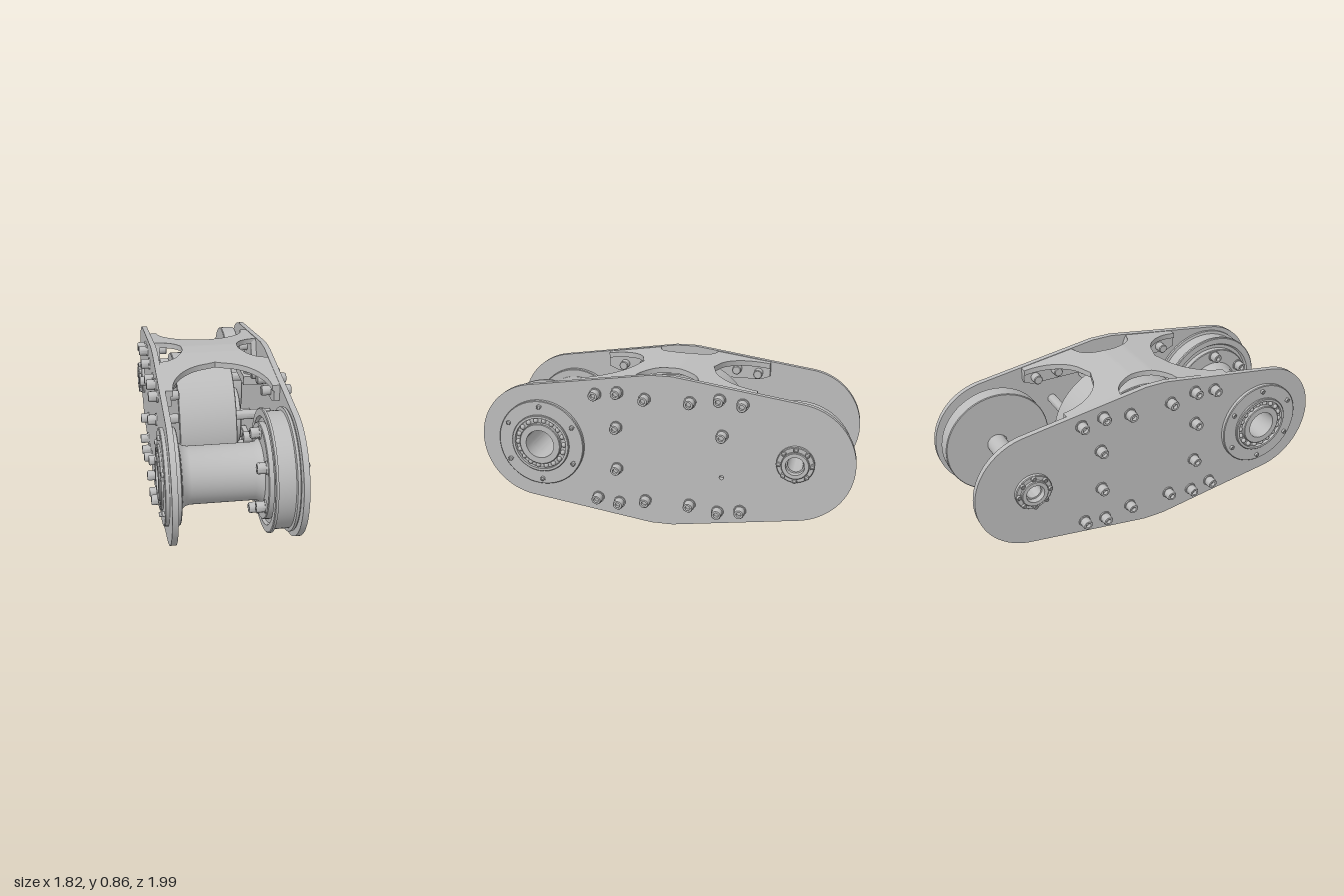
import * as THREE from 'three';
import { toCreasedNormals } from 'three/addons/utils/BufferGeometryUtils.js';

// Local frame: x along the arm, y up, z across the two side plates.
const CY = 0.4275, BIG = 0.68, SMALL = -0.72, MID = -0.035;
const IN = 0.295, OUT = 0.325; // inner and outer plate faces

export function createModel() {
  const metal = new THREE.MeshStandardMaterial({ color: 0xbcbcbc });
  metal.name = 'grey metal';
  const model = new THREE.Group();
  model.name = 'armLink';

  const add = (name, geo, x = 0, y = 0, z = 0, side = 1, parent = model) => {
    const m = new THREE.Mesh(geo, metal);
    m.name = name;
    m.position.set(x, y, z * side);
    if (side < 0) m.rotation.y = Math.PI;
    parent.add(m);
    return m;
  };
  // Turned part about the z axis from [radius, z] points
  const turned = (pts, seg = 48) => toCreasedNormals(
    new THREE.LatheGeometry(pts.map(p => new THREE.Vector2(...p)), seg).rotateX(Math.PI / 2), 0.6);
  const ring = (r0, r1, z0, z1, seg = 48, b = 0.004) => turned(
    [[r0, z0], [r1 - b, z0], [r1, z0 + b], [r1, z1 - b], [r1 - b, z1], [r0, z1], [r0, z0]], seg);
  const around = (n, r, start, fn) => {
    for (let i = 0; i < n; i++) {
      const a = start + i * 2 * Math.PI / n;
      fn(r * Math.cos(a), r * Math.sin(a));
    }
  };

  // Socket head screw, base at z = 0
  const boltGeo = turned([[0, 0], [0.034, 0], [0.034, 0.008], [0.028, 0.008], [0.028, 0.044],
    [0.024, 0.05], [0.014, 0.05], [0.014, 0.03], [0, 0.03]], 14);
  const smallBoltGeo = boltGeo.clone().scale(0.45, 0.45, 0.3);
  const ballGeo = new THREE.SphereGeometry(0.014, 10, 8);

  // Side plate outline with shaft holes
  const tilt = 0.145, q = Math.PI / 2, plate = new THREE.Shape();
  plate.moveTo(-0.06, 0);
  plate.lineTo(0.06, 0);
  plate.absarc(0.70, CY, 0.33, -q + tilt, q - tilt, false);
  plate.lineTo(0.06, 0.855);
  plate.lineTo(-0.06, 0.855);
  plate.absarc(-0.70, CY, 0.33, q + tilt, 3 * q - tilt, false);
  const cut = (x, y, r) => new THREE.Path().absarc(x, y, r, 0, Math.PI * 2, true);
  const plateGeo = extraHole => {
    const s = plate.clone();
    s.holes = [cut(BIG, CY, 0.15), cut(SMALL, CY, 0.058)];
    if (extraHole) s.holes.push(cut(-0.33, 0.31, 0.012));
    return toCreasedNormals(new THREE.ExtrudeGeometry(s,
      { depth: OUT - IN, bevelEnabled: false, curveSegments: 32 }), 0.5);
  };
  add('frontPlate', plateGeo(false), 0, 0, IN);
  add('backPlate', plateGeo(true), 0, 0, -OUT);

  const rowX = [-0.435, -0.312, -0.156, 0.09, 0.24, 0.363];
  const rowY = [0.73, 0.748, 0.722, 0.722, 0.748, 0.73];
  for (const s of [1, -1]) {
    // Plate screws
    rowX.forEach((x, i) => {
      add('plateScrew', boltGeo, x, rowY[i], OUT, s);
      add('plateScrew', boltGeo, x, 0.855 - rowY[i], OUT, s);
    });
    for (const x of [-0.33, 0.25]) for (const y of [0.31, 0.55]) {
      if (s > 0 || x > 0 || y > 0.5) add('motorScrew', boltGeo, x, y, OUT, s);
      const from = s > 0 ? 0.2 : 0.09;
      add('standoff', ring(0, 0.026, from, IN, 16), x, y, 0, s);
    }
    // Large bearing
    add('bearingHousing', ring(0.165, 0.245, OUT - 0.01, 0.347, 64), BIG, CY, 0, s);
    add('bearingOuterRing', ring(0.148, 0.165, IN, 0.36, 64), BIG, CY, 0, s);
    add('bearingCage', ring(0.11, 0.15, IN, 0.343), BIG, CY, 0, s);
    add('bearingInnerRing', ring(0.08, 0.118, IN - 0.02, 0.366), BIG, CY, 0, s);
    around(18, 0.133, 0, (x, y) => add('bearingBall', ballGeo, BIG + x, CY + y, 0.346, s));
    around(6, 0.212, q, (x, y) => add('housingScrew', smallBoltGeo, BIG + x, CY + y, 0.345, s));
    // Small hub
    add('hubFlange', ring(0.058, 0.1, OUT - 0.005, 0.345, 32), SMALL, CY, 0, s);
    add('hubCollar', ring(0.05, 0.074, IN - 0.015, 0.362, 32), SMALL, CY, 0, s);
    around(8, 0.087, q, (x, y) => add('hubScrew', smallBoltGeo, SMALL + x, CY + y, 0.344, s));
  }

  // Large hollow axle with flared ends
  add('mainAxle', turned([[0.08, -0.3], [0.2, -0.3], [0.2, -0.16], [0.165, -0.155], [0.15, -0.135],
    [0.146, -0.11], [0.146, 0.21], [0.152, 0.235], [0.17, 0.255], [0.2, 0.26], [0.2, 0.3],
    [0.08, 0.3], [0.08, -0.3]], 64), BIG, CY);
  add('frontAxleFlange', ring(0.14, 0.245, 0.265, IN, 64), BIG, CY);
  add('backAxleFlange', ring(0.14, 0.245, -0.19, -0.15, 64), BIG, CY);
  around(6, 0.21, Math.PI / 6, (x, y) => {
    add('flangeScrew', boltGeo, BIG + x, CY + y, -0.265).rotation.y = Math.PI;
    add('flangeScrew', boltGeo, BIG + x, CY + y, -0.15);
  });
  // Grooved drum beside the back plate
  add('drum', turned([[0.18, -0.293], [0.31, -0.293], [0.315, -0.288], [0.315, -0.275], [0.298, -0.272],
    [0.298, -0.187], [0.315, -0.184], [0.315, -0.172], [0.31, -0.168], [0.275, -0.168],
    [0.265, -0.182], [0.18, -0.182], [0.18, -0.293]], 72), BIG, CY);

  // Small axle and its wheel
  add('smallAxle', ring(0.042, 0.055, -0.33, 0.33, 32), SMALL, CY);
  add('axleSleeve', ring(0.05, 0.068, 0.18, IN, 32), SMALL, CY);
  add('axleSleeveLip', ring(0.05, 0.078, 0.175, 0.19, 32), SMALL, CY);
  add('wheel', ring(0.05, 0.3, -0.261, -0.177, 72), -0.71, CY);

  // Central motor drum
  add('motor', ring(0, 0.375, -0.1, 0.21, 80), MID, CY);
  add('motorCap', ring(0, 0.16, -0.16, -0.1), MID, CY);

  // Small block with two upright screws beside the motor
  add('mountBlock', new THREE.BoxGeometry(0.24, 0.05, 0.12), MID, 0.68, -0.235);
  for (const x of [-0.08, 0.02]) {
    add('blockScrew', boltGeo, x, 0.705, -0.22).rotation.x = -q;
  }

  // Cross brackets: sections along x, scooped at both ends and both sides
  const topY = x => 0.851 - Math.max(0, Math.abs(x) - 0.06) * 0.143;
  const scoop = (d, r) => Math.sqrt(Math.max(0, 1 - (d / r) ** 2));
  const bracketHalf = side => {
    const N = 72, pos = [], idx = [];
    for (let i = 0; i <= N; i++) {
      const d = -0.48 + 0.96 * i / N, x = d + MID * 0.6;
      const inner = 0.255 * scoop(0.48 - Math.abs(d), 0.27);
      const outer = IN - 0.14 * scoop(d, 0.17);
      const lo = side > 0 ? inner : -outer, hi = side > 0 ? outer : -inner;
      const t = topY(x), b = t - 0.03;
      pos.push(x, t, lo, x, t, hi, x, b, hi, x, b, lo);
      if (i < N) for (let k = 0; k < 4; k++) {
        const a = i * 4 + k, n = i * 4 + (k + 1) % 4;
        idx.push(a, n, a + 4, n, n + 4, a + 4);
      }
    }
    const e = N * 4;
    idx.push(0, 2, 1, 0, 3, 2, e, e + 1, e + 2, e, e + 2, e + 3);
    const g = new THREE.BufferGeometry();
    g.setAttribute('position', new THREE.Float32BufferAttribute(pos, 3));
    g.setIndex(idx);
    return toCreasedNormals(g, 0.6);
  };
  // Upright feet that bolt to the plates
  const footGeo = dir => {
    const s = new THREE.Shape();
    const xs = [0.17, 0.48, 0.48, 0.43, 0.12].map(v => dir * v + MID * 0.6);
    s.moveTo(xs[0], topY(xs[0]) - 0.01);
    s.lineTo(xs[1], topY(xs[1]) - 0.01);
    s.lineTo(xs[2], 0.71);
    s.lineTo(xs[3], 0.69);
    s.lineTo(xs[4], 0.69);
    s.closePath();
    return new THREE.ExtrudeGeometry(s, { depth: 0.03, bevelEnabled: false });
  };
  for (const top of [true, false]) {
    const bracket = new THREE.Group();
    bracket.name = top ? 'topBracket' : 'bottomBracket';
    for (const s of [1, -1]) {
      add('bracketHalf', bracketHalf(s), 0, 0, 0, 1, bracket);
      for (const dir of [1, -1]) add('bracketFoot', footGeo(dir), 0, 0, s > 0 ? IN - 0.03 : -IN, 1, bracket);
      // Screw ends on the inside of the feet
      rowX.forEach((x, i) => add('screwNut', ring(0, 0.026, 0.215, 0.27, 12), x, rowY[i], 0, s, bracket));
    }
    if (!top) {
      bracket.rotation.x = Math.PI;
      bracket.position.y = 0.855;
    }
    model.add(bracket);
  }

  model.rotation.y = -0.871;
  const root = new THREE.Group();
  root.name = 'linkAssembly';
  root.add(model);
  return root;
}
